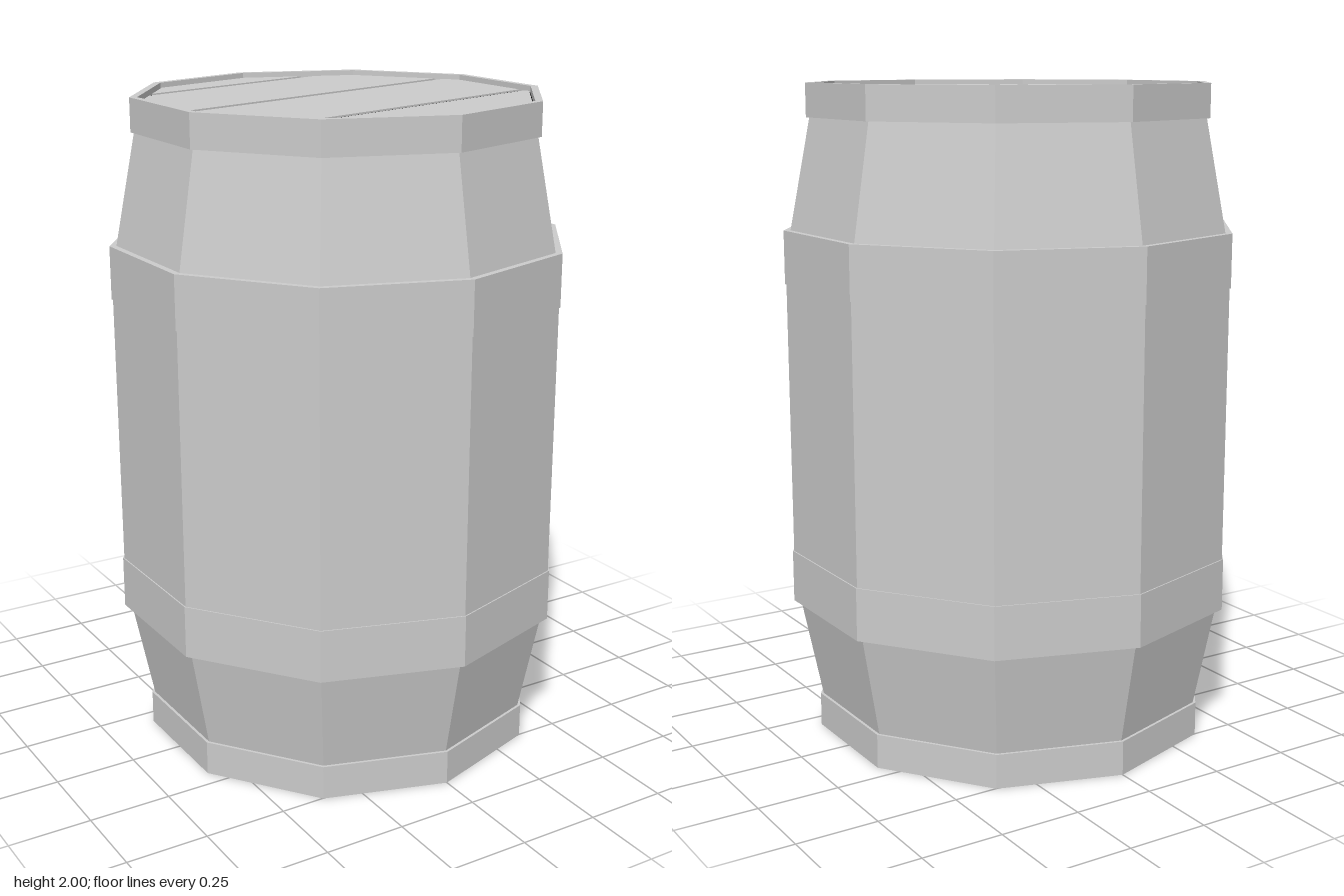
import * as THREE from 'three';

const SIDES = 10;
const grey = new THREE.MeshStandardMaterial({ color: 0xcccccc, flatShading: true });
const dark = new THREE.MeshStandardMaterial({ color: 0x080808, flatShading: true });

function addMesh(group, name, geometry, material = grey) {
  const mesh = new THREE.Mesh(geometry, material);
  mesh.name = name;
  group.add(mesh);
  return mesh;
}

// Ten-sided solid of revolution from [radius, height] pairs
const lathe = (profile) =>
  new THREE.LatheGeometry(profile.map(([r, y]) => new THREE.Vector2(r, y)), SIDES);

// Closed rectangular hoop
const hoop = (inner, outer, y0, y1) =>
  lathe([[inner, y0], [outer, y0], [outer, y1], [inner, y1], [inner, y0]]);

// Keep the part of a convex polygon where dot(p, n) <= limit
function clip(points, n, limit) {
  const out = [];
  points.forEach((a, i) => {
    const b = points[(i + 1) % points.length];
    const da = a.dot(n) - limit;
    const db = b.dot(n) - limit;
    if (da <= 0) out.push(a);
    if (da * db < 0) out.push(a.clone().lerp(b, da / (da - db)));
  });
  return out;
}

export function createModel() {
  const barrel = new THREE.Group();
  barrel.name = 'barrel';

  // Staves: straight middle, tapering to both ends
  addMesh(barrel, 'staves', lathe([
    [0.61, 0.05], [0.61, 0.1], [0.676, 0.43], [0.691, 0.5],
    [0.691, 1.49], [0.676, 1.56], [0.61, 1.9], [0.61, 1.95],
  ]));

  // End rims and middle hoops
  addMesh(barrel, 'bottomRim', hoop(0.597, 0.62, 0, 0.105));
  addMesh(barrel, 'lowerHoop', hoop(0.66, 0.695, 0.42, 0.58));
  addMesh(barrel, 'upperHoop', hoop(0.66, 0.695, 1.41, 1.57));
  addMesh(barrel, 'topRim', hoop(0.597, 0.62, 1.9, 2));

  // Bottom panel, slightly recessed
  const bottom = addMesh(barrel, 'bottomPanel', new THREE.CylinderGeometry(0.605, 0.605, 0.03, SIDES));
  bottom.position.y = 0.03;

  // Dark backing that shows through the gaps in the lid
  const backing = addMesh(barrel, 'lidGaps', new THREE.CylinderGeometry(0.605, 0.605, 0.02, SIDES), dark);
  backing.position.y = 1.97;

  // Lid planks, cut from a decagon along slanted gaps
  const lid = new THREE.Group();
  lid.name = 'lid';
  const outline = Array.from({ length: SIDES }, (_, i) => {
    const a = Math.PI / 2 + (i / SIDES) * Math.PI * 2;
    return new THREE.Vector2(0.593 * Math.cos(a), 0.593 * Math.sin(a));
  });
  const slant = THREE.MathUtils.degToRad(16.4);
  const normal = new THREE.Vector2(-Math.sin(slant), Math.cos(slant));
  const back = normal.clone().negate();
  const cuts = [-1, -0.301, 0.081, 0.448, 1];
  const halfGap = 0.0135;
  for (let i = 0; i < cuts.length - 1; i++) {
    const part = clip(clip(outline, normal, cuts[i + 1] - halfGap), back, -cuts[i] - halfGap);
    const plank = new THREE.ExtrudeGeometry(new THREE.Shape(part), { depth: 0.006, bevelEnabled: false });
    plank.rotateX(-Math.PI / 2);
    addMesh(lid, `plank${i + 1}`, plank).position.y = 1.979;
  }
  barrel.add(lid);

  return barrel;
}
